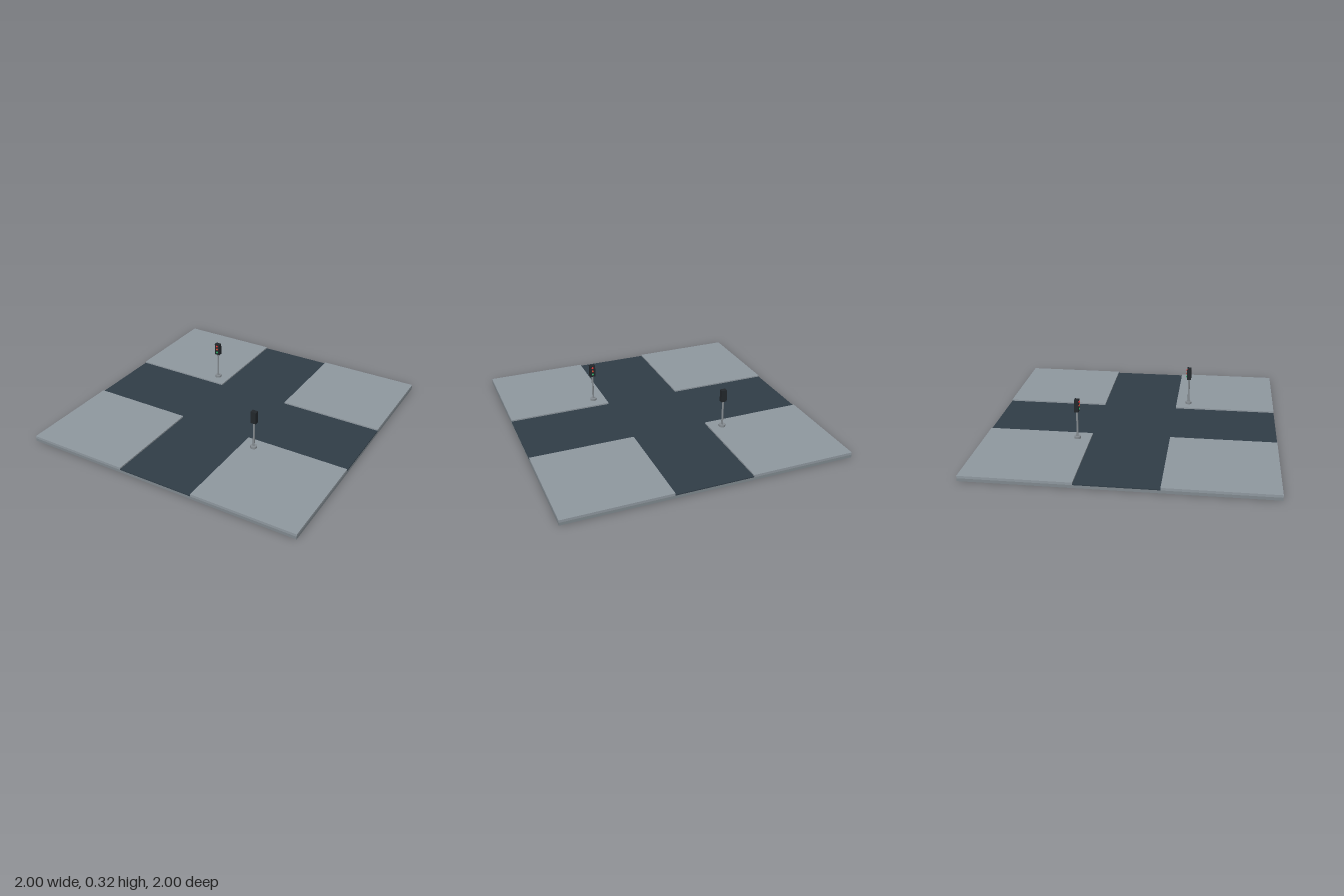
import * as THREE from 'three';

const paint = (color) => new THREE.MeshStandardMaterial({ color });
const MAT = {
  slab: paint(0x7f888e),
  pavement: paint(0x8f989f),
  road: paint(0x303d47),
  pole: paint(0x858c91),
  housing: paint(0x22272b),
  red: paint(0xe02a2a),
  middle: paint(0xc0402a),
  green: paint(0x27a060),
};

const ROAD_HALF = 0.27;
const SLAB_TOP = 0.02;
const ROAD_TOP = 0.027;
const PAVEMENT_TOP = 0.037;

function add(parent, name, geometry, material, x = 0, y = 0, z = 0) {
  const mesh = new THREE.Mesh(geometry, material);
  mesh.name = name;
  mesh.position.set(x, y, z);
  parent.add(mesh);
  return mesh;
}

// Box given by its bottom and top heights
function slabBox(parent, name, material, w, d, y0, y1, x = 0, z = 0) {
  return add(parent, name, new THREE.BoxGeometry(w, y1 - y0, d), material, x, (y0 + y1) / 2, z);
}

// Signal on a round foot, lamps facing +z
function trafficLight() {
  const light = new THREE.Group();
  light.name = 'trafficLight';
  add(light, 'foot', new THREE.CylinderGeometry(0.023, 0.023, 0.016, 24), MAT.pole, 0, 0.008, 0);
  add(light, 'pole', new THREE.CylinderGeometry(0.007, 0.007, 0.19, 16), MAT.pole, 0, 0.107, 0);
  add(light, 'housing', new THREE.BoxGeometry(0.04, 0.087, 0.03), MAT.housing, 0, 0.2415, 0);
  const lamps = [['redLamp', MAT.red], ['middleLamp', MAT.middle], ['greenLamp', MAT.green]];
  lamps.forEach(([name, material], i) => {
    add(light, name, new THREE.SphereGeometry(0.008, 16, 12), material, 0, 0.268 - i * 0.0255, 0.015);
  });
  return light;
}

export function createModel() {
  const model = new THREE.Group();
  model.name = 'crossroads';

  // Ground slab
  slabBox(model, 'baseSlab', MAT.slab, 2, 2, 0, SLAB_TOP);

  // One through road and two side arms meeting it
  slabBox(model, 'throughRoad', MAT.road, ROAD_HALF * 2, 2, SLAB_TOP, ROAD_TOP);
  const arm = 1 - ROAD_HALF;
  const armCentre = (1 + ROAD_HALF) / 2;
  for (const sx of [-1, 1]) {
    slabBox(model, 'sideRoad', MAT.road, arm, ROAD_HALF * 2, SLAB_TOP, ROAD_TOP, sx * armCentre, 0);
    // Raised pavement corners
    for (const sz of [-1, 1]) {
      slabBox(model, 'pavement', MAT.pavement, arm, arm, SLAB_TOP, PAVEMENT_TOP, sx * armCentre, sz * armCentre);
    }
  }

  // Two signals on opposite corners, facing each other across the junction
  for (const s of [-1, 1]) {
    const light = trafficLight();
    light.position.set(s * 0.36, PAVEMENT_TOP, s * 0.36);
    light.rotation.y = s > 0 ? Math.PI : 0;
    model.add(light);
  }
  return model;
}
